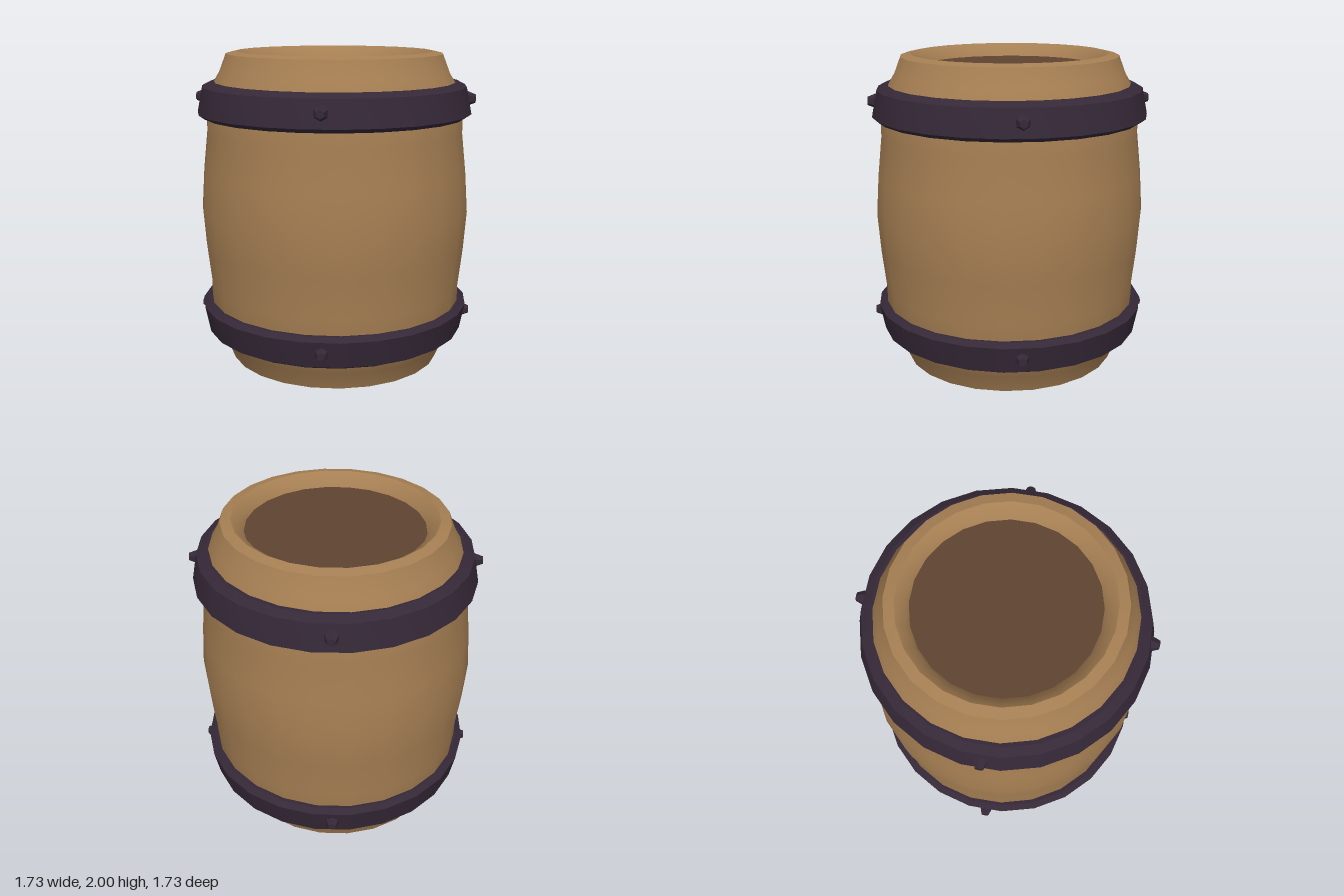
import * as THREE from 'three';
import { toCreasedNormals } from 'three/addons/utils/BufferGeometryUtils.js';

const material = (name, color) => {
  const m = new THREE.MeshStandardMaterial({ color });
  m.name = name;
  return m;
};

// Revolve a list of [radius, y] points around the upright axis
const lathe = (profile) =>
  new THREE.LatheGeometry(profile.map(([r, y]) => new THREE.Vector2(r, y)), 24, Math.PI / 24);

export function createModel() {
  const wood = material('oak wood', 0xa67f53);
  const darkWood = material('dark lid wood', 0x5e4331);
  const iron = material('dark iron', 0x352837);

  const barrel = new THREE.Group();
  barrel.name = 'barrel';
  const add = (parent, name, geometry, mat) => {
    const mesh = new THREE.Mesh(geometry, mat);
    mesh.name = name;
    parent.add(mesh);
    return mesh;
  };

  // Bulging wooden shell with a recessed top
  const shell = lathe([
    [0, 0], [0.625, 0], [0.69, 0.015], [0.735, 0.13], [0.775, 0.195],
    [0.822, 0.4], [0.822, 0.5], [0.85, 0.75], [0.868, 1], [0.85, 1.25],
    [0.822, 1.5], [0.822, 1.6], [0.775, 1.805], [0.735, 1.87],
    [0.69, 1.985], [0.625, 2], [0.57, 1.96], [0.54, 1.9],
  ]);
  // Uneven inner lip, as if carved by hand
  const p = shell.attributes.position;
  for (let i = 0; i < p.count; i++) {
    const x = p.getX(i), z = p.getZ(i), r = Math.hypot(x, z);
    if (p.getY(i) > 1.8 && r < 0.6) {
      const k = 1 + 0.015 * Math.cos(12 * Math.atan2(x, z));
      p.setXYZ(i, x * k, p.getY(i), z * k);
    }
  }
  add(barrel, 'shell', toCreasedNormals(shell, 0.6), wood).scale.x = 0.985;

  // Lid set just below the rim
  const lid = add(barrel, 'lid', new THREE.CircleGeometry(0.56, 32), darkWood);
  lid.rotation.x = -Math.PI / 2;
  lid.position.y = 1.92;

  // Iron hoops, the lower one mirrored, each with four bolts on the diagonals
  const hoopProfile = [[0.77, 1.595], [0.835, 1.595], [0.87, 1.62], [0.837, 1.785], [0.785, 1.812], [0.74, 1.812]];
  const bolt = new THREE.CylinderGeometry(0.026, 0.05, 0.06, 6);
  bolt.rotateX(Math.PI / 2);
  const boltGeometry = toCreasedNormals(bolt, 0.3);
  for (const upper of [true, false]) {
    const hoop = new THREE.Group();
    hoop.name = upper ? 'upperHoop' : 'lowerHoop';
    const profile = upper ? hoopProfile : hoopProfile.map(([r, y]) => [r, 2 - y]).reverse();
    add(hoop, 'band', toCreasedNormals(lathe(profile), 0.4), iron);
    for (let i = 0; i < 4; i++) {
      const angle = Math.PI / 4 + i * Math.PI / 2;
      const mesh = add(hoop, 'bolt', boltGeometry, iron);
      mesh.position.set(Math.sin(angle) * 0.863, upper ? 1.705 : 0.305, Math.cos(angle) * 0.863);
      mesh.rotation.y = angle;
    }
    barrel.add(hoop);
  }
  return barrel;
}
